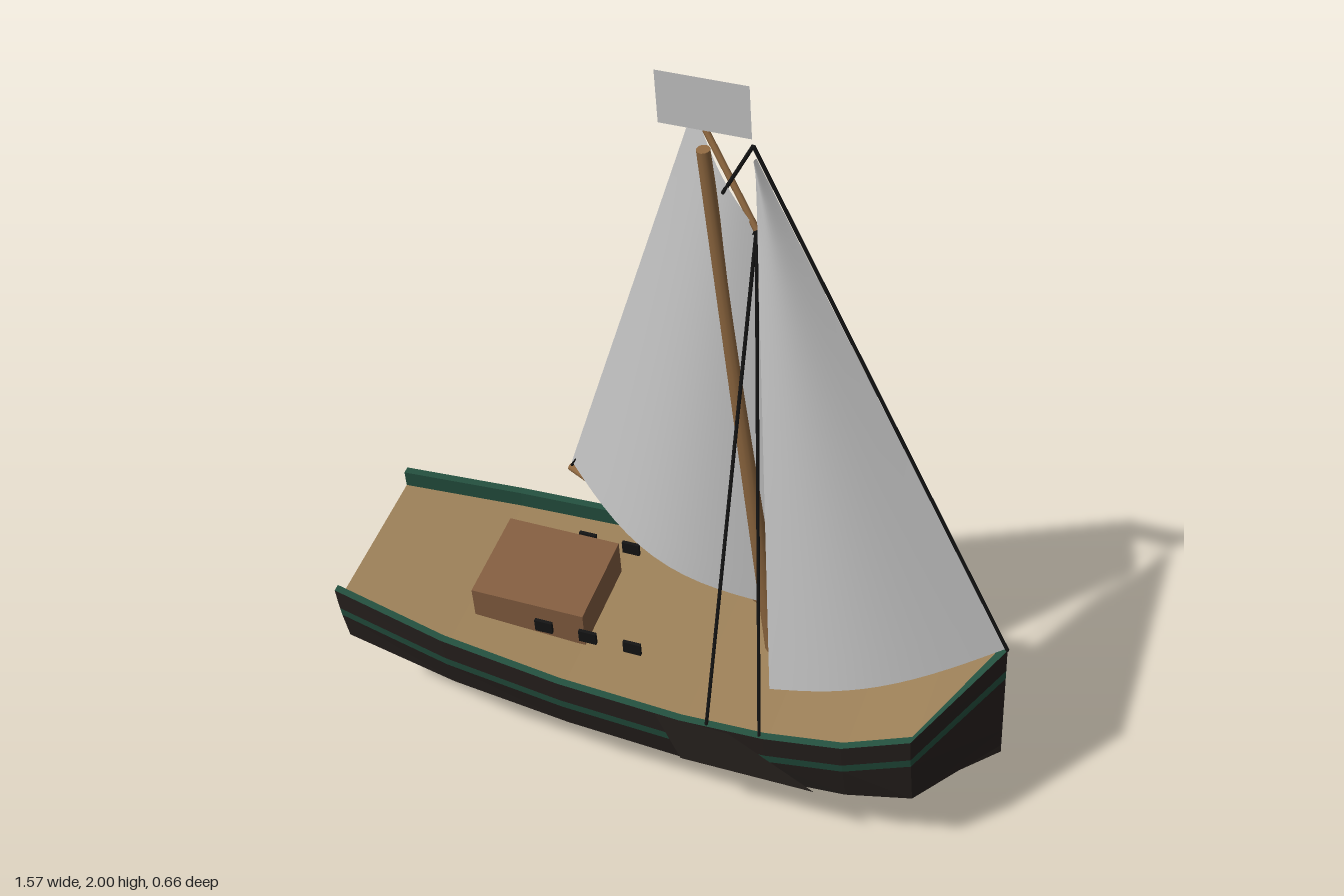
import * as THREE from 'three';

const V = (x, y, z) => new THREE.Vector3(x, y, z);
const paint = (color, flat = true) =>
  new THREE.MeshStandardMaterial({ color, flatShading: flat, side: THREE.DoubleSide });
const BLACK = paint(0x28221f), GREEN = paint(0x24503f), DECK = paint(0x9c8058), CABIN = paint(0x835d40);
const SPAR = paint(0x8f6840, false), ROPE = paint(0x141414, false), CLOTH = paint(0xcccccc, false);

// Surface through equally long rows of points
function loft(rows) {
  const n = rows[0].length, idx = [];
  for (let i = 0; i < rows.length - 1; i++)
    for (let j = 0; j < n - 1; j++) {
      const a = i * n + j, b = a + n;
      idx.push(a, b, a + 1, b, b + 1, a + 1);
    }
  const g = new THREE.BufferGeometry().setFromPoints(rows.flat());
  g.setIndex(idx);
  g.computeVertexNormals();
  return g;
}

// Tapered round bar between two points
function bar(name, a, b, r0, r1, mat, sides = 10) {
  const g = new THREE.CylinderGeometry(r1, r0, a.distanceTo(b), sides);
  const m = new THREE.Mesh(g, mat);
  m.name = name;
  m.position.copy(a).lerp(b, 0.5);
  m.quaternion.setFromUnitVectors(V(0, 1, 0), b.clone().sub(a).normalize());
  return m;
}

// Hull stations: x, half beam, sheer height, keel height
const STATIONS = [
  [-0.79, 0.21, 0.468, 0.2], [-0.5, 0.255, 0.437, 0.175], [-0.2, 0.28, 0.42, 0.16],
  [0.1, 0.293, 0.416, 0.153], [0.3, 0.293, 0.425, 0.153], [0.48, 0.285, 0.45, 0.16],
  [0.63, 0.255, 0.492, 0.172], [0.78, 0, 0.566, 0.2],
];
const RAIL = 0.018, DROP = 0.045;

// Section points of each band on one side
const BANDS = {
  lowerHull: [BLACK, ([x, w, s, k], d) => [V(x, k, 0), V(x, k + 0.025, d * w * 0.6),
    V(x, k + 0.08, d * w * 0.89), V(x, s - 0.098, d * w * 0.96)]],
  stripe: [GREEN, ([x, w, s], d) => [V(x, s - 0.098, d * w * 0.96), V(x, s - 0.07, d * w * 0.975)]],
  topStrake: [BLACK, ([x, w, s], d) => [V(x, s - 0.07, d * w * 0.975), V(x, s, d * w)]],
  bulwark: [GREEN, ([x, w, s], d) => {
    const wi = Math.max(w - RAIL, 0), xi = w ? x : x - RAIL;
    return [V(x, s, d * w), V(xi, s, d * wi), V(xi, s - DROP, d * wi)];
  }],
};

function hull() {
  const g = new THREE.Group();
  g.name = 'hull';
  const add = (name, geo, mat) => {
    const m = new THREE.Mesh(geo, mat);
    m.name = name;
    g.add(m);
    return m;
  };
  for (const [name, [mat, section]] of Object.entries(BANDS))
    for (const d of [1, -1]) add(name, loft(STATIONS.map((s) => section(s, d))), mat);

  // Transom, rail ends and deck
  const [x, w, s, k] = STATIONS[0];
  const half = (d) => [V(x, k, 0), V(x, k + 0.025, d * w * 0.6), V(x, k + 0.08, d * w * 0.89),
    V(x, s - 0.098, d * w * 0.96), V(x, s - DROP, d * w * 0.985)];
  add('transom', loft([half(1), half(-1)]), BLACK);
  for (const d of [1, -1])
    add('railEnd', loft([[V(x, s - DROP, d * w * 0.985), V(x, s, d * w)],
      [V(x, s - DROP, d * (w - RAIL)), V(x, s, d * (w - RAIL))]]), BLACK);
  add('deck', loft(STATIONS.map(([px, pw, ps]) => {
    const wi = Math.max(pw - RAIL, 0), xi = pw ? px : px - RAIL;
    return [V(xi, ps - DROP, wi), V(xi, ps - DROP, -wi)];
  })), DECK);

  // Cabin and the two rows of ports beside it
  add('cabin', new THREE.BoxGeometry(0.28, 0.1, 0.24), CABIN).position.set(-0.335, 0.426, 0);
  for (const px of [-0.285, -0.175, -0.065])
    for (const d of [1, -1])
      add('port', new THREE.BoxGeometry(0.043, 0.035, 0.008), ROPE).position.set(px, 0.44, d * 0.144);

  // The whole hull heels to one side
  g.rotation.x = 0.148;
  g.position.z = -0.03;
  return g;
}

// Four-cornered sail that bellies towards +z
function sail(name, tack, clew, peak, throat, belly) {
  const rows = [], N = 14;
  for (let i = 0; i <= N; i++) {
    const v = i / N, a = tack.clone().lerp(throat, v), b = clew.clone().lerp(peak, v), row = [];
    for (let j = 0; j <= N; j++) {
      const u = j / N, p = a.clone().lerp(b, u);
      p.z += belly * Math.sin(Math.PI * u) * (1 - 0.75 * v);
      row.push(p);
    }
    rows.push(row);
  }
  const m = new THREE.Mesh(loft(rows), CLOTH);
  m.name = name;
  return m;
}

// Flat four-cornered sheet
function sheet(name, a, b, c, d, mat) {
  const m = new THREE.Mesh(loft([[a, b], [d, c]]), mat);
  m.name = name;
  return m;
}

export function createModel() {
  const model = new THREE.Group();
  model.name = 'sailingBoat';
  model.add(hull());

  // Leeboards: far one lowered, near one raised
  model.add(
    sheet('leeboardLowered', V(0.055, 0.465, -0.264), V(0.185, 0.465, -0.264),
      V(0.235, 0.03, -0.328), V(-0.09, 0, -0.334), BLACK),
    sheet('leeboardRaised', V(0.045, 0.375, 0.326), V(0.22, 0.37, 0.326),
      V(0.42, 0.235, 0.306), V(0.1, 0.235, 0.306), BLACK));

  // Spars
  const throat = V(0.235, 1.66, 0.24), peak = V(0.09, 1.885, 0.2);
  const boomEnd = V(-0.37, 0.575, -0.215), stayHead = V(0.232, 1.86, 0.262), bow = V(0.78, 0.56, 0.053);
  model.add(
    bar('mast', V(0.232, 0.37, 0.018), V(0.13, 1.83, 0.258), 0.024, 0.014, SPAR, 12),
    bar('gaff', throat, peak, 0.007, 0.007, SPAR),
    bar('boom', V(0.225, 0.51, 0.04), boomEnd, 0.01, 0.01, SPAR));

  // Sails
  model.add(
    sail('mainsail', V(0.225, 0.525, 0.045), V(-0.365, 0.595, -0.21), peak, throat, 0.1),
    sail('jib', V(0.775, 0.565, 0.055), V(0.287, 0.45, 0.237), V(0.235, 1.83, 0.256),
      V(0.237, 1.83, 0.256), 0.06));

  // Standing rigging
  const lines = [[bow, stayHead], [stayHead, V(0.165, 1.73, 0.242)], [throat, boomEnd]];
  for (const x of [0.165, 0.29])
    lines.push([throat, V(x, 0.37, 0.315)], [throat, V(x, 0.45, -0.257)]);
  for (const [a, b] of lines) model.add(bar('rigging', a, b, 0.004, 0.004, ROPE, 6));

  // Flag at the masthead
  model.add(sheet('flag', V(0.04, 1.875, 0.264), V(0.23, 1.875, 0.264),
    V(0.23, 2, 0.285), V(0.04, 2, 0.285), CLOTH));
  return model;
}
